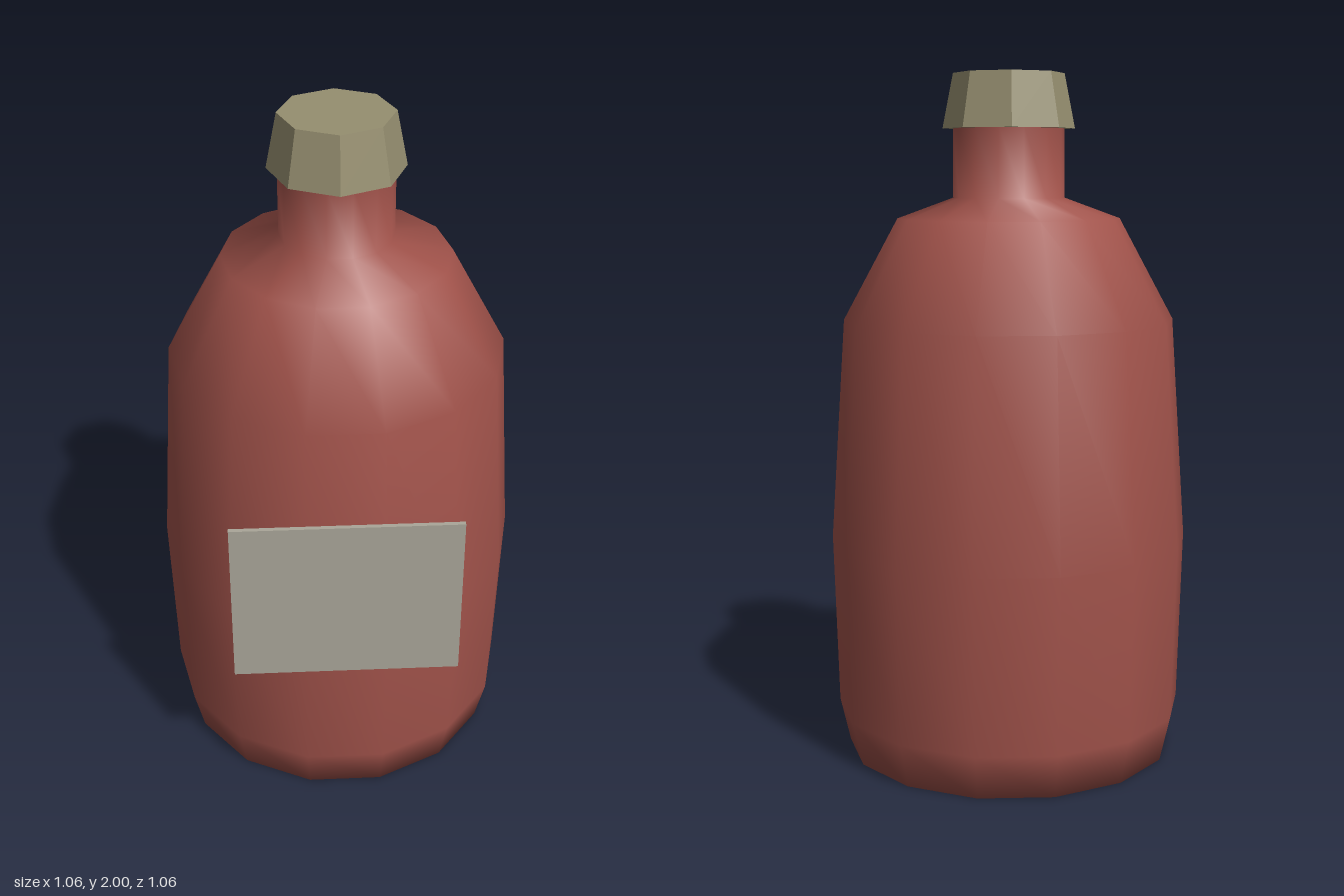
import * as THREE from 'three';

const AXIS_Z = -0.014; // the bottle sits slightly behind centre to make room for the label

function addPart(group, name, geometry, color, y, z, flatShading = false) {
  const material = new THREE.MeshStandardMaterial({ color, flatShading });
  const mesh = new THREE.Mesh(geometry, material);
  mesh.name = name;
  mesh.position.set(0, y, z);
  group.add(mesh);
  return mesh;
}

export function createModel() {
  const group = new THREE.Group();
  group.name = 'bottle';

  // Body, shoulder and neck: one smooth 14-sided lathe, corners on the x axis
  const profile = [
    [0, 0], [0.485, 0], [0.515, 0.13], [0.529, 0.64], [0.485, 1.29],
    [0.325, 1.585], [0.162, 1.645], [0.162, 1.85],
  ].map(([r, y]) => new THREE.Vector2(r, y));
  const body = addPart(group, 'body', new THREE.LatheGeometry(profile, 14, Math.PI / 2), 0xa0524a, 0, AXIS_Z);
  body.material.side = THREE.DoubleSide;

  // Faceted, tapered cap
  addPart(group, 'cap', new THREE.CylinderGeometry(0.161, 0.192, 0.157, 8), 0x968f70, 1.9215, AXIS_Z, true);

  // Thin label plate floating just ahead of the body
  addPart(group, 'label', new THREE.BoxGeometry(0.644, 0.515, 0.013), 0xaaa699, 0.775, 0.5225, true);

  return group;
}
